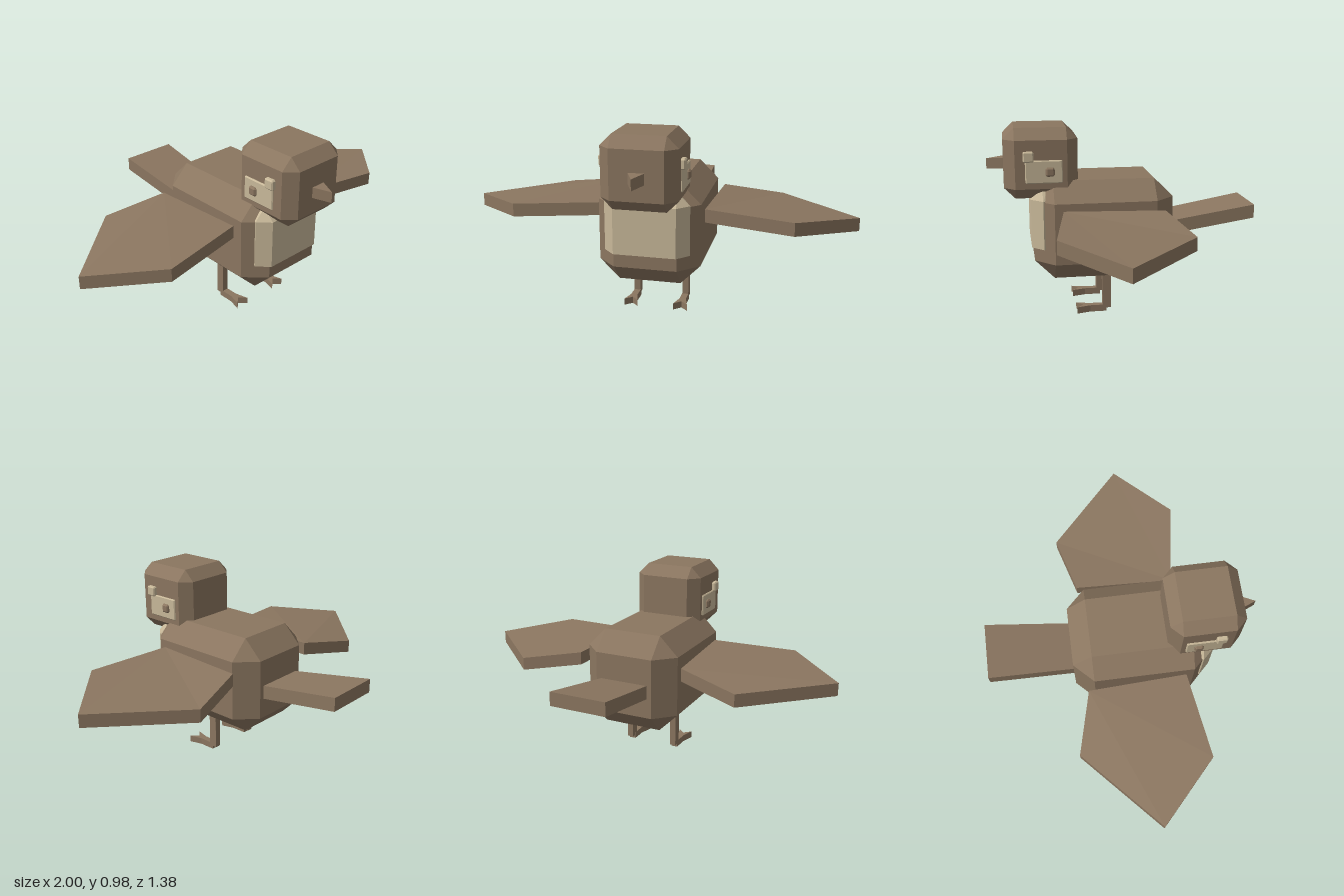
import * as THREE from 'three';
import { ConvexGeometry } from 'three/addons/geometries/ConvexGeometry.js';

const feather = new THREE.MeshStandardMaterial({ color: 0x8b7660, flatShading: true });
feather.name = 'brown feather';
const cream = new THREE.MeshStandardMaterial({ color: 0xc8b899, flatShading: true });
cream.name = 'cream';

// Box with cut edges and corners, given by its limits and bevel size
function bevelBox([x0, x1], [y0, y1], [z0, z1], c) {
  const centre = new THREE.Vector3(x0 + x1, y0 + y1, z0 + z1).multiplyScalar(0.5);
  const half = [x1 - x0, y1 - y0, z1 - z0].map((v) => v / 2);
  const points = [];
  for (const sx of [-1, 1]) for (const sy of [-1, 1]) for (const sz of [-1, 1]) {
    for (let axis = 0; axis < 3; axis++) {
      const [x, y, z] = half.map((h, i) => (i === axis ? h : h - c));
      points.push(new THREE.Vector3(sx * x, sy * y, sz * z).add(centre));
    }
  }
  return new ConvexGeometry(points);
}

// Slab from an outline of [x, z, top y], with a constant thickness
function slab(outline, thickness) {
  let pts = outline.slice();
  let flat = pts.map(([x, z]) => new THREE.Vector2(x, -z));
  if (THREE.ShapeUtils.isClockWise(flat)) {
    pts.reverse();
    flat.reverse();
  }
  const pos = [];
  const top = (i) => [pts[i][0], pts[i][2], pts[i][1]];
  const low = (i) => [pts[i][0], pts[i][2] - thickness, pts[i][1]];
  for (const [a, b, c] of THREE.ShapeUtils.triangulateShape(flat, [])) {
    pos.push(...top(a), ...top(b), ...top(c), ...low(c), ...low(b), ...low(a));
  }
  for (let i = 0; i < pts.length; i++) {
    const j = (i + 1) % pts.length;
    pos.push(...low(i), ...low(j), ...top(j), ...low(i), ...top(j), ...top(i));
  }
  const g = new THREE.BufferGeometry();
  g.setAttribute('position', new THREE.Float32BufferAttribute(pos, 3));
  g.computeVertexNormals();
  return g;
}

export function createModel() {
  const bird = new THREE.Group();
  bird.name = 'bird';
  const add = (name, geometry, material) => {
    const mesh = new THREE.Mesh(geometry, material);
    mesh.name = name;
    bird.add(mesh);
  };

  add('body', bevelBox([-0.255, 0.255], [0.2, 0.71], [-0.25, 0.462], 0.099), feather);
  add('head', bevelBox([-0.185, 0.185], [0.62, 0.975], [0.235, 0.605], 0.056), feather);

  // Breast patch wraps the front of the body and its bevels
  const breast = [];
  for (const s of [-1, 1]) {
    for (const y of [0.368, 0.617]) {
      breast.push([0.155, y, 0.475], [0.212, y, 0.416], [0.2, y, 0.39]);
    }
    breast.push([0.155, 0.675, 0.417], [0.155, 0.67, 0.39]);
    breast.splice(-8, 8, ...breast.slice(-8).map(([x, y, z]) => new THREE.Vector3(s * x, y, z)));
  }
  add('breastPatch', new ConvexGeometry(breast), cream);

  // Beak and tail
  add('beak', slab([[-0.04, 0.6, 0.813], [0.04, 0.6, 0.813], [0, 0.69, 0.806]], 0.054), feather);
  add('tail', slab([
    [-0.128, -0.2, 0.465], [0.128, -0.2, 0.465], [0.148, -0.692, 0.547], [-0.148, -0.692, 0.547],
  ], 0.071), feather);

  for (const [side, s] of [['left', 1], ['right', -1]]) {
    const xs = (a, b) => [a * s, b * s].sort((m, n) => m - n);

    // Face markings
    add(side + 'EyePatch', bevelBox(xs(0.175, 0.193), [0.705, 0.82], [0.315, 0.5], 0.005), cream);
    add(side + 'Brow', bevelBox(xs(0.175, 0.206), [0.813, 0.865], [0.457, 0.51], 0.006), cream);
    add(side + 'Eye', bevelBox(xs(0.175, 0.206), [0.74, 0.786], [0.355, 0.4], 0.008), feather);

    // Wing
    add(side + 'Wing', slab([
      [0.288, -0.185, 0.57], [0.6, -0.268, 0.517], [1, 0.104, 0.517],
      [0.7, 0.387, 0.56], [0.266, 0.32, 0.577],
    ].map(([x, z, y]) => [x * s, z, y]), 0.067), feather);

    // Leg and forked foot
    add(side + 'Leg', bevelBox(xs(0.115, 0.148), [0.018, 0.23], [0.07, 0.115], 0.0005), feather);
    add(side + 'Foot', slab([
      [-0.017, 0.095], [0.017, 0.095], [0.017, 0.18], [0.036, 0.25],
      [0, 0.215], [-0.036, 0.25], [-0.017, 0.18],
    ].map(([x, z]) => [(0.131 + x) * s, z, 0.035]), 0.035), feather);
  }
  return bird;
}
